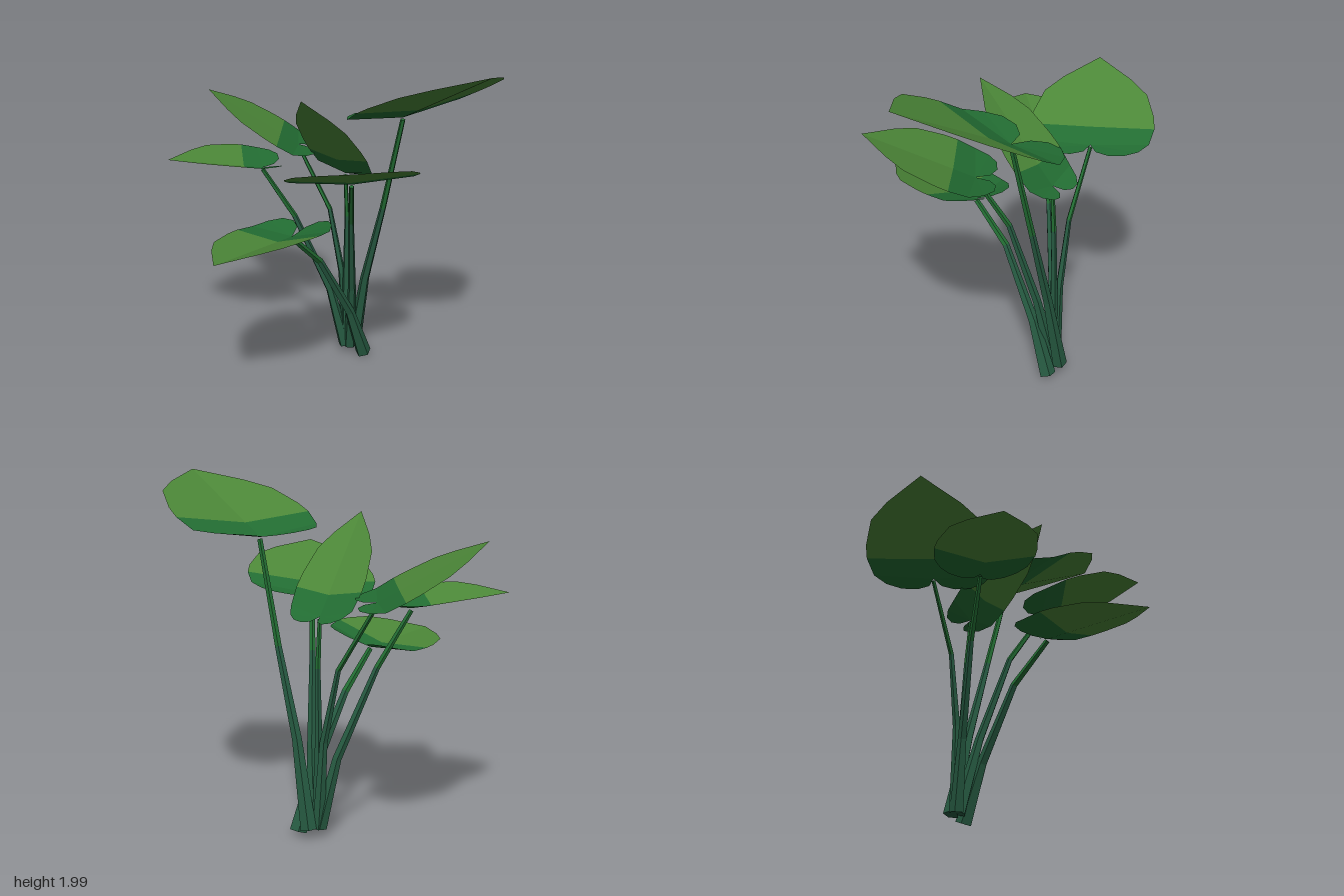
import * as THREE from 'three';

const material = (name, color, side = THREE.FrontSide) => {
  const m = new THREE.MeshStandardMaterial({ color, side });
  m.name = name;
  return m;
};

// Half outline of a heart-shaped leaf: [along the midrib, fraction of half width]
const BLADE = [[0.2, 1], [0.33, 0.98], [0.58, 0.84], [0.75, 0.56], [1, 0]];
const LOBE = [[0.2, 0], [0.2, 1], [0.03, 0.93], [-0.1, 0.77], [-0.18, 0.55], [-0.19, 0.3], [-0.13, 0.1]];

// Each leaf: notch (where the stem meets), midrib vector, half-width vector, upward fold
// of both edges, slope of the lobes behind the notch, and the stem's path below the notch.
const LEAVES = [
  { name: 'tallRight', notch: [0.3, 1.64, -0.4], rib: [0.67, 0.36, 0.21], side: [0.13, 0, -0.42],
    fold: 0.047, lobeSlope: -0.05, radius: 0.046,
    stem: [[-0.09, 0.06, -0.5], [0.01, 0.55, -0.465], [0.15, 1.05, -0.44]] },
  { name: 'centre', notch: [-0.1, 1.23, -0.4], rib: [0.04, 0.54, 0.47], side: [0.215, 0, 0],
    fold: 0.03, lobeSlope: 0.16, radius: 0.036,
    stem: [[-0.11, 0.06, -0.44], [-0.11, 0.5, -0.43], [-0.1, 0.95, -0.42]] },
  { name: 'upperLeft', notch: [-0.47, 1.34, -0.41], rib: [-0.5, 0.32, 0.26], side: [-0.212, -0.018, -0.29],
    fold: 0.003, lobeSlope: 0.06, radius: 0.036,
    stem: [[-0.12, 0.06, -0.45], [-0.15, 0.55, -0.44], [-0.24, 0.96, -0.43]] },
  { name: 'lowerLeft', notch: [-0.48, 1.27, -0.08], rib: [-0.39, 0.07, 0.4], side: [-0.2, -0.015, -0.2],
    fold: 0.065, lobeSlope: -0.05, radius: 0.042,
    stem: [[-0.12, 0.06, -0.44], [-0.19, 0.45, -0.37], [-0.35, 0.95, -0.22]] },
  { name: 'lowerRight', notch: [0.18, 1.3, -0.08], rib: [0.36, 0.26, 0.49], side: [0.308, 0.03, -0.21],
    fold: 0.03, lobeSlope: 0.05, radius: 0.042,
    stem: [[-0.09, 0.06, -0.45], [-0.02, 0.5, -0.37], [0.07, 1.0, -0.23]] },
  { name: 'front', notch: [-0.09, 0.985, 0.12], rib: [-0.01, 0.03, 0.64], side: [0.305, 0.055, 0],
    fold: 0.055, lobeSlope: -0.22, radius: 0.05,
    stem: [[0, 0.025, -0.475], [-0.02, 0.35, -0.35], [-0.07, 0.76, -0.11]] },
];

const vec = (a) => new THREE.Vector3(...a);

// Fan of triangles over both halves of a leaf region
function leafRegion(leaf, hub, outline) {
  const rib = vec(leaf.rib);
  const lobe = rib.clone().setY(leaf.lobeSlope);
  const points = [];
  for (const sign of [1, -1]) {
    const side = vec(leaf.side).multiplyScalar(sign);
    side.y += leaf.fold;
    const at = ([u, v]) => vec(leaf.notch)
      .addScaledVector(u < 0 ? lobe : rib, u)
      .addScaledVector(side, v);
    for (let i = 0; i + 1 < outline.length; i++) {
      const a = at(outline[i]), b = at(outline[i + 1]);
      points.push(at(hub), ...(sign > 0 ? [a, b] : [b, a]));
    }
  }
  const geometry = new THREE.BufferGeometry().setFromPoints(points);
  geometry.computeVertexNormals();
  return geometry;
}

// Cylinder rows moved onto the rings from first to last of a tapering path
function stemPart(leaf, first, last) {
  const points = [...leaf.stem, leaf.notch].map(vec);
  points[3].y -= 0.012;
  const rows = last - first;
  const shape = new THREE.CylinderGeometry(1, 1, 1, 5, rows);
  const pos = shape.attributes.position;
  const up = new THREE.Vector3(0, 1, 0);
  for (let i = 0; i < pos.count; i++) {
    const k = first + Math.round((pos.getY(i) + 0.5) * rows);
    const before = points[Math.max(k - 1, 0)];
    const after = points[Math.min(k + 1, 3)];
    const turn = new THREE.Quaternion().setFromUnitVectors(up, after.clone().sub(before).normalize());
    const r = leaf.radius * [1, 0.62, 0.42, 0.32][k];
    const p = new THREE.Vector3(pos.getX(i) * r, 0, pos.getZ(i) * r).applyQuaternion(turn).add(points[k]);
    pos.setXYZ(i, p.x, p.y, p.z);
  }
  const geometry = shape.toNonIndexed();
  geometry.computeVertexNormals();
  return geometry;
}

export function createModel() {
  const bladeGreen = material('light leaf green', 0x4c8738, THREE.DoubleSide);
  const lobeGreen = material('deep leaf green', 0x226c32, THREE.DoubleSide);
  const stemGreen = material('dark stem green', 0x265a41);

  const plant = new THREE.Group();
  plant.name = 'leafyPlant';
  for (const leaf of LEAVES) {
    const group = new THREE.Group();
    group.name = leaf.name + 'Leaf';
    const add = (name, geometry, mat) => {
      const mesh = new THREE.Mesh(geometry, mat);
      mesh.name = name;
      group.add(mesh);
    };
    add('blade', leafRegion(leaf, [0.2, 0], BLADE), bladeGreen);
    add('lobes', leafRegion(leaf, [0, 0], LOBE), lobeGreen);
    add('lowerStem', stemPart(leaf, 0, 2), stemGreen);
    add('upperStem', stemPart(leaf, 2, 3), lobeGreen);
    plant.add(group);
  }
  return plant;
}
